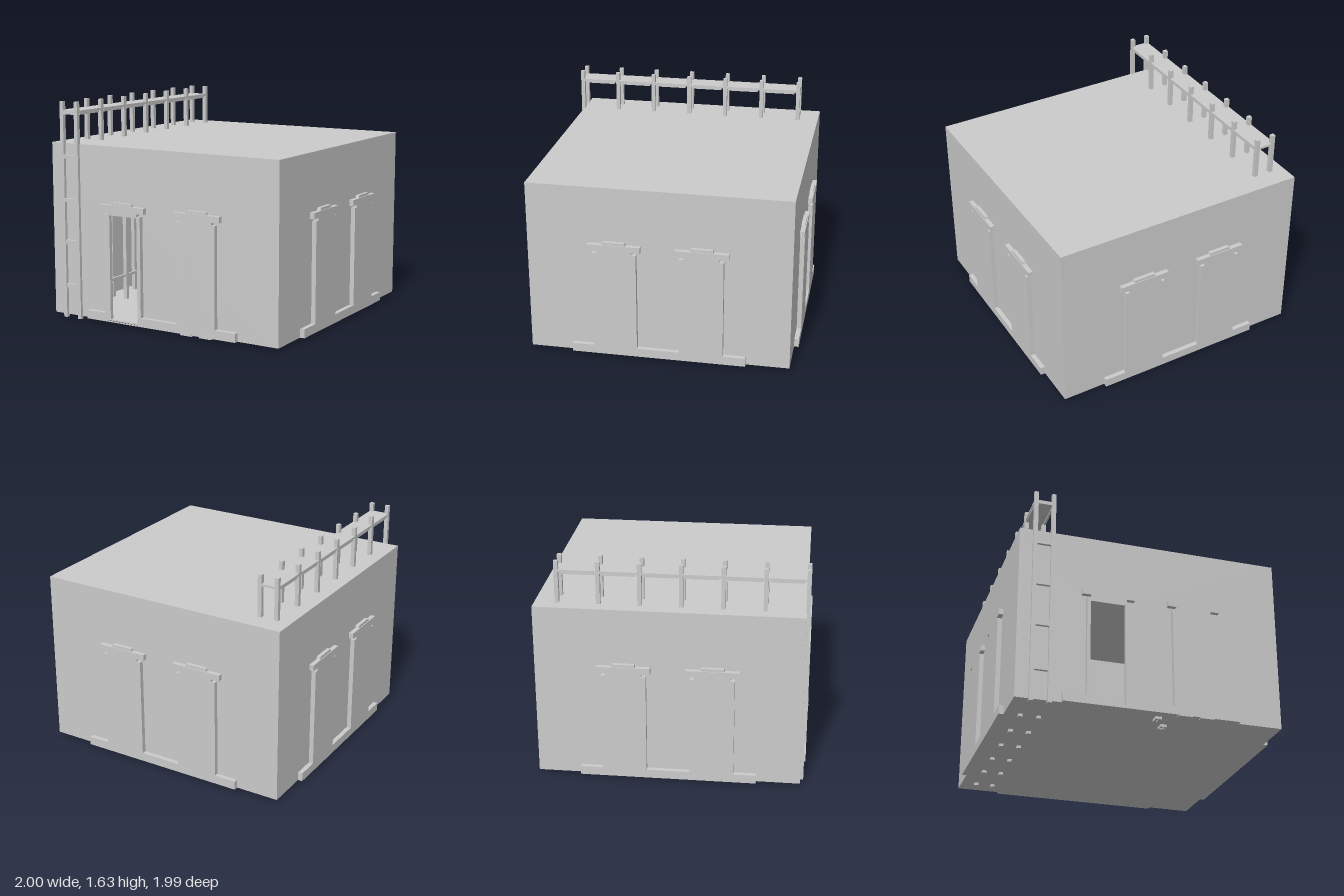
import * as THREE from 'three';

const mat = new THREE.MeshStandardMaterial({ color: 0xcccccc, flatShading: true });

export function createModel() {
  const model = new THREE.Group();

  // Box given by its limits on each axis
  function box(parent, name, x0, x1, y0, y1, z0, z1) {
    const mesh = new THREE.Mesh(new THREE.BoxGeometry(x1 - x0, y1 - y0, z1 - z0), mat);
    mesh.position.set((x0 + x1) / 2, (y0 + y1) / 2, (z0 + z1) / 2);
    mesh.name = name;
    parent.add(mesh);
    return mesh;
  }

  function shapeOf(points) {
    return new THREE.Shape(points.map(([x, y]) => new THREE.Vector2(x, y)));
  }

  function rectHole(x0, x1, y0, y1) {
    const p = new THREE.Path();
    p.moveTo(x0, y0).lineTo(x0, y1).lineTo(x1, y1).lineTo(x1, y0).closePath();
    return p;
  }

  function extrude(parent, name, shape, depth, z) {
    const mesh = new THREE.Mesh(
      new THREE.ExtrudeGeometry(shape, { depth, bevelEnabled: false }), mat);
    mesh.position.z = z;
    mesh.name = name;
    parent.add(mesh);
  }

  // Hollow building with a doorway in the front wall
  const W = 0.965, D = 0.957, H = 1.32, base = 0.02, t = 0.03;
  const door = [-0.45, -0.185, 0.03, 0.82];
  const building = new THREE.Group();
  building.name = 'building';
  model.add(building);
  box(building, 'floor', -W, W, base, base + 0.01, -D, D);
  box(building, 'roof', -W, W, H - t, H, -D, D);
  box(building, 'backWall', -W, W, base, H, -D, -D + t);
  for (const s of [-1, 1]) {
    const x = s * (W - t / 2);
    box(building, 'sideWall', x - t / 2, x + t / 2, base, H, -D, D);
  }
  const front = shapeOf([[-W, base], [W, base], [W, H], [-W, H]]);
  front.holes.push(rectHole(...door));
  extrude(building, 'frontWall', front, t, D - t);

  // Raised plinth with two door panels, lintels and caps for one wall
  function surround(name, open) {
    const g = new THREE.Group();
    g.name = name;
    const p = 0.085, a = 0.155, b = 0.475, n = 0.03;
    const half = [[a, p], [a, 0.83], [a + n, 0.83], [a + n, 0.85],
      [b - n, 0.85], [b - n, 0.83], [b, 0.83], [b, p], [0.64, p], [0.64, base]];
    const mirrored = half.map(([x, y]) => [-x, y]).reverse();
    const s = shapeOf([...mirrored, ...half]);
    if (open) s.holes.push(rectHole(...door));
    extrude(g, 'plinthAndPanels', s, 0.034, 0);
    for (const side of [-1, 1]) {
      const c = side * 0.317;
      box(g, 'lintel', c - 0.193, c + 0.193, 0.85, 0.895, 0, 0.034);
      extrude(g, 'lintelCap', shapeOf([[c - 0.085, 0.895], [c + 0.085, 0.895],
        [c + 0.08, 0.915], [c - 0.08, 0.915]]), 0.028, 0);
    }
    model.add(g);
    return g;
  }
  surround('frontSurround', true).position.z = D;
  const back = surround('backSurround', false);
  back.position.z = -D;
  back.rotation.y = Math.PI;
  for (const s of [-1, 1]) {
    const g = surround('sideSurround', false);
    g.position.x = s * W;
    g.rotation.y = s * Math.PI / 2;
  }

  // Walkway: seven pairs of posts that run down through the building
  const walkway = new THREE.Group();
  walkway.name = 'walkway';
  model.add(walkway);
  const posts = [-0.855, -0.725], step = 0.2935, r = 0.015;
  for (let i = 0; i < 7; i++) {
    const z = 0.965 - i * step;
    for (const x of posts) {
      box(walkway, 'post', x - r, x + r, 0, 1.63, z - r, z + r);
      if (i < 6) box(walkway, 'deckBeam', x - 0.008, x + 0.008, 1.533, 1.55, z - step + 0.03, z - 0.03);
    }
  }
  box(walkway, 'deck', -0.868, -0.712, 1.548, 1.565, -0.81, 0.972);
  box(walkway, 'innerRail', -0.733, -0.717, 0.21, 0.23, -0.8, 0.93);

  // Ladder rungs between the two front posts
  for (const y of [0.245, 0.58, 0.895, 1.22, 1.548]) {
    box(walkway, 'rung', posts[0], posts[1], y - 0.014, y + 0.014, 0.957, 0.978);
  }

  // Panelled cabinet standing inside, behind the doorway
  const cabinet = new THREE.Group();
  cabinet.name = 'cabinet';
  model.add(cabinet);
  box(cabinet, 'cabinetBody', -0.47, -0.17, 0.03, 0.83, -0.92, -0.8);
  for (let row = 0; row < 4; row++) {
    for (const x of [-0.395, -0.245]) {
      const y = 0.175 + row * 0.185;
      box(cabinet, 'cabinetPanel', x - 0.06, x + 0.06, y - 0.085, y + 0.085, -0.8, -0.785);
      box(cabinet, 'cabinetInset', x - 0.04, x + 0.04, y - 0.07, y + 0.07, -0.785, -0.775);
    }
  }

  // Small feet reaching through the floor
  for (const x of [0.05, 0.075, 0.13, 0.155]) {
    for (const z of [0.74, 0.78, 0.87, 0.905]) {
      if ((x < 0.1) === (z > 0.8)) box(model, 'smallFoot', x - 0.01, x + 0.01, 0, 0.03, z - 0.015, z + 0.015);
    }
  }

  // Low stones at the foot of the front wall
  for (const x of [0.235, 0.395]) {
    box(model, 'stone', x - 0.05, x + 0.05, 0.012, 0.035, D, D + 0.038);
  }
  return model;
}
